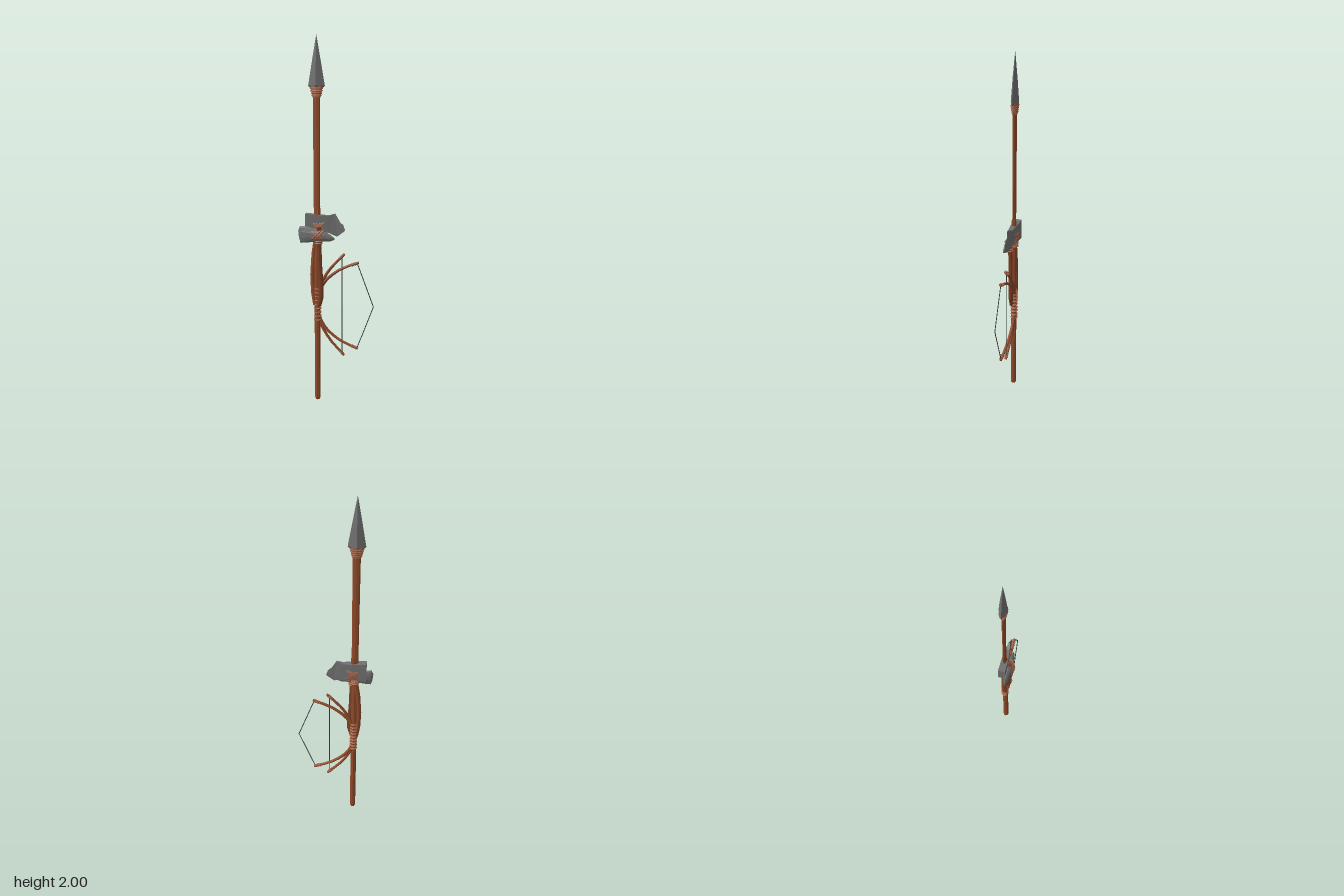
import * as THREE from 'three';

const mat = (color) => new THREE.MeshStandardMaterial({ color, flatShading: true });
const WOOD = mat(0x8f4a2a), DARK = mat(0x7a3f24), WRAP = mat(0xa5664a), STONE = mat(0x707070), CORD = mat(0x3c3c3c);

// Capped sweep along a path in an XY plane; each station is [x, y, z, half-width in plane, half-depth in z]
function sweep(stations, sides = 8, phase = 0) {
  const pos = [], idx = [], n = stations.length;
  stations.forEach(([x, y, z, a, b], i) => {
    const p = stations[Math.max(i - 1, 0)], q = stations[Math.min(i + 1, n - 1)];
    const tx = q[0] - p[0], ty = q[1] - p[1], l = Math.hypot(tx, ty);
    for (let j = 0; j < sides; j++) {
      const t = phase + (j / sides) * Math.PI * 2, u = a * Math.cos(t);
      pos.push(x + (ty / l) * u, y - (tx / l) * u, z + b * Math.sin(t));
    }
  });
  for (let i = 0; i < n - 1; i++) {
    for (let j = 0; j < sides; j++) {
      const k = (j + 1) % sides, o = i * sides, p = o + sides;
      idx.push(o + j, p + j, p + k, o + j, p + k, o + k);
    }
  }
  for (let j = 1; j < sides - 1; j++) {
    const e = (n - 1) * sides;
    idx.push(0, j, j + 1, e, e + j + 1, e + j);
  }
  const g = new THREE.BufferGeometry();
  g.setAttribute('position', new THREE.Float32BufferAttribute(pos, 3));
  g.setIndex(idx);
  const flat = g.toNonIndexed();
  flat.computeVertexNormals();
  return flat;
}

function add(parent, name, geometry, material) {
  const m = new THREE.Mesh(geometry, material);
  m.name = name;
  parent.add(m);
  return m;
}

function group(parent, name) {
  const g = new THREE.Group();
  g.name = name;
  parent.add(g);
  return g;
}

// One turn of cord around an axis that leans by tilt from vertical
function cordTurn(parent, name, [x, y, z], rx, rz, tilt = 0, tube = 0.005) {
  const g = new THREE.TorusGeometry(1, tube / rx, 5, 12).rotateX(Math.PI / 2);
  g.scale(rx, rx, rz).rotateZ(tilt).translate(x, y, z);
  g.computeVertexNormals();
  return add(parent, name, g, WRAP);
}

function buildSpear(root) {
  const s = group(root, 'spear'), x = -0.109, z = -0.013;
  add(s, 'spearShaft', sweep([
    [x, 0, z, 0.011, 0.011], [x, 0.012, z, 0.016, 0.016], [x, 0.6, z, 0.016, 0.016],
    [x, 0.95, z, 0.017, 0.012], [x, 1.1, z, 0.018, 0.009], [x, 1.4, z, 0.019, 0.009], [x, 1.72, z, 0.02, 0.01],
  ]), WOOD);
  add(s, 'spearSocket', sweep([
    [x, 1.68, z, 0.022, 0.013], [x, 1.72, z, 0.03, 0.018], [x, 1.74, z, 0.034, 0.018],
  ]), WRAP);
  for (let i = 0; i < 4; i++) cordTurn(s, 'spearBinding', [x, 1.69 + i * 0.012, z], 0.024 + i * 0.003, 0.014 + i * 0.0015, 0, 0.004);
  // Four-sided point with a ridge on each face
  add(s, 'spearHead', sweep([
    [x, 1.73, z, 0.036, 0.018], [x, 1.74, z, 0.045, 0.023], [x, 1.86, z, 0.025, 0.014], [x, 2, z, 0.0005, 0.0005],
  ], 4), STONE);
}

function buildFlatAxe(root) {
  const a = group(root, 'flatAxe'), z = -0.014, r = Math.SQRT2;
  // Rectangular wedge that flares toward the cutting edge
  const head = [
    [-0.172, 1.003, 0.056, 0.019], [-0.09, 1.003, 0.05, 0.017], [-0.045, 1.005, 0.046, 0.011],
    [-0.004, 1.0, 0.063, 0.004], [0.009, 1.01, 0.054, 0.002], [0.016, 1.018, 0.025, 0.0005],
  ];
  add(a, 'flatAxeHead', sweep(head.map(([x, y, h, t]) => [x, y, z, h * r, t * r]), 4, Math.PI / 4), STONE);
  add(a, 'flatAxeHandle', sweep([
    [-0.12, 0.55, z, 0.014, 0.014], [-0.132, 0.62, z, 0.013, 0.014], [-0.136, 0.72, z, 0.013, 0.014],
    [-0.128, 0.84, z, 0.013, 0.014], [-0.11, 0.95, z, 0.014, 0.015], [-0.103, 1.04, z, 0.014, 0.015],
    [-0.1, 1.09, z, 0.011, 0.012],
  ]), WOOD);
  for (const tilt of [-0.85, 0.85]) {
    for (const d of [-0.007, 0.007]) cordTurn(a, 'flatAxeLashing', [-0.1 + d, 0.985, z], 0.048, 0.021, tilt, 0.006);
  }
  for (let i = 0; i < 3; i++) cordTurn(a, 'flatAxeBinding', [-0.112, 0.925 + i * 0.011, z], 0.018, 0.018);
}

function buildPointedAxe(root) {
  const a = group(root, 'pointedAxe'), z = 0.011;
  // Stone that is tall and blunt at one end, pointed at the other
  add(a, 'pointedAxeHead', sweep([
    [-0.206, 0.946, z, 0.022, 0.002], [-0.197, 0.947, z, 0.047, 0.009], [-0.165, 0.947, z, 0.045, 0.016],
    [-0.115, 0.945, z, 0.036, 0.019], [-0.065, 0.94, z, 0.028, 0.016], [-0.03, 0.931, z, 0.018, 0.01],
    [-0.008, 0.927, z, 0.004, 0.002],
  ], 10), STONE);
  add(a, 'pointedAxeHandle', sweep([
    [-0.098, 0.55, -0.004, 0.013, 0.012], [-0.086, 0.6, -0.003, 0.015, 0.013], [-0.085, 0.66, -0.002, 0.014, 0.013],
    [-0.091, 0.76, 0, 0.013, 0.012], [-0.094, 0.87, 0.004, 0.013, 0.012], [-0.096, 0.95, 0.008, 0.014, 0.014],
    [-0.095, 0.99, 0.008, 0.012, 0.012],
  ]), DARK);
  for (const tilt of [-0.8, 0.8]) {
    for (const d of [-0.009, 0.009]) cordTurn(a, 'pointedAxeLashing', [-0.1 + d, 0.945, z], 0.036, 0.02, tilt, 0.006);
  }
  for (let i = 0; i < 2; i++) cordTurn(a, 'pointedAxeBinding', [-0.096, 0.9 + i * 0.012, 0.006], 0.017, 0.016);
}

// A bow mirrored about its grip; limb lists [x, height above grip] from grip to tip
function buildBow(root, name, limb, stringEnd, stringMid, gripX) {
  const b = group(root, name), y0 = 0.553, z = -0.019;
  const half = new THREE.CatmullRomCurve3(limb.map(([x, h]) => new THREE.Vector3(x, h, 0))).getPoints(9);
  const station = (p, i, sign) => [p.x, y0 + sign * p.y, z, 0.011 - 0.0005 * i, 0.0105 - 0.0003 * i];
  const lower = half.map((p, i) => station(p, i, -1)).reverse();
  const upper = half.map((p, i) => station(p, i, 1)).slice(1);
  add(b, name + 'Stave', sweep([...lower, ...upper]), WOOD);
  for (let i = 0; i < 9; i++) cordTurn(b, name + 'Grip', [gripX, y0 - 0.088 + i * 0.022, z + 0.003], 0.0145, 0.0145, 0, 0.006);
  const p = limb[limb.length - 1], q = limb[limb.length - 2];
  const lean = Math.atan2(p[0] - q[0], p[1] - q[1]);
  for (const sign of [-1, 1]) {
    // Cord turns beside the nock
    for (let i = 0; i < 4; i++) {
      const d = 0.012 + i * 0.008;
      cordTurn(b, name + 'TipBinding', [p[0] - Math.sin(lean) * d, y0 + sign * (p[1] - Math.cos(lean) * d), z], 0.0075, 0.0095, -sign * lean, 0.002);
    }
    const s = [stringEnd[0], y0 + sign * stringEnd[1], z, 0.0025, 0.0025];
    add(b, name + 'String', sweep([s, [stringMid, y0, z, 0.0025, 0.0025]], 5), CORD);
  }
}

export function createModel() {
  const root = new THREE.Group();
  root.name = 'primitiveWeapons';
  buildSpear(root);
  buildFlatAxe(root);
  buildPointedAxe(root);
  buildBow(root, 'restingBow', [[-0.11, 0], [-0.108, 0.06], [-0.085, 0.125], [-0.04, 0.2], [0.04, 0.287]], [0.028, 0.272], 0.028, -0.109);
  buildBow(root, 'drawnBow', [[-0.108, 0], [-0.104, 0.06], [-0.075, 0.12], [-0.043, 0.156], [0.02, 0.203], [0.118, 0.244]], [0.112, 0.24], 0.202, -0.106);
  return root;
}
